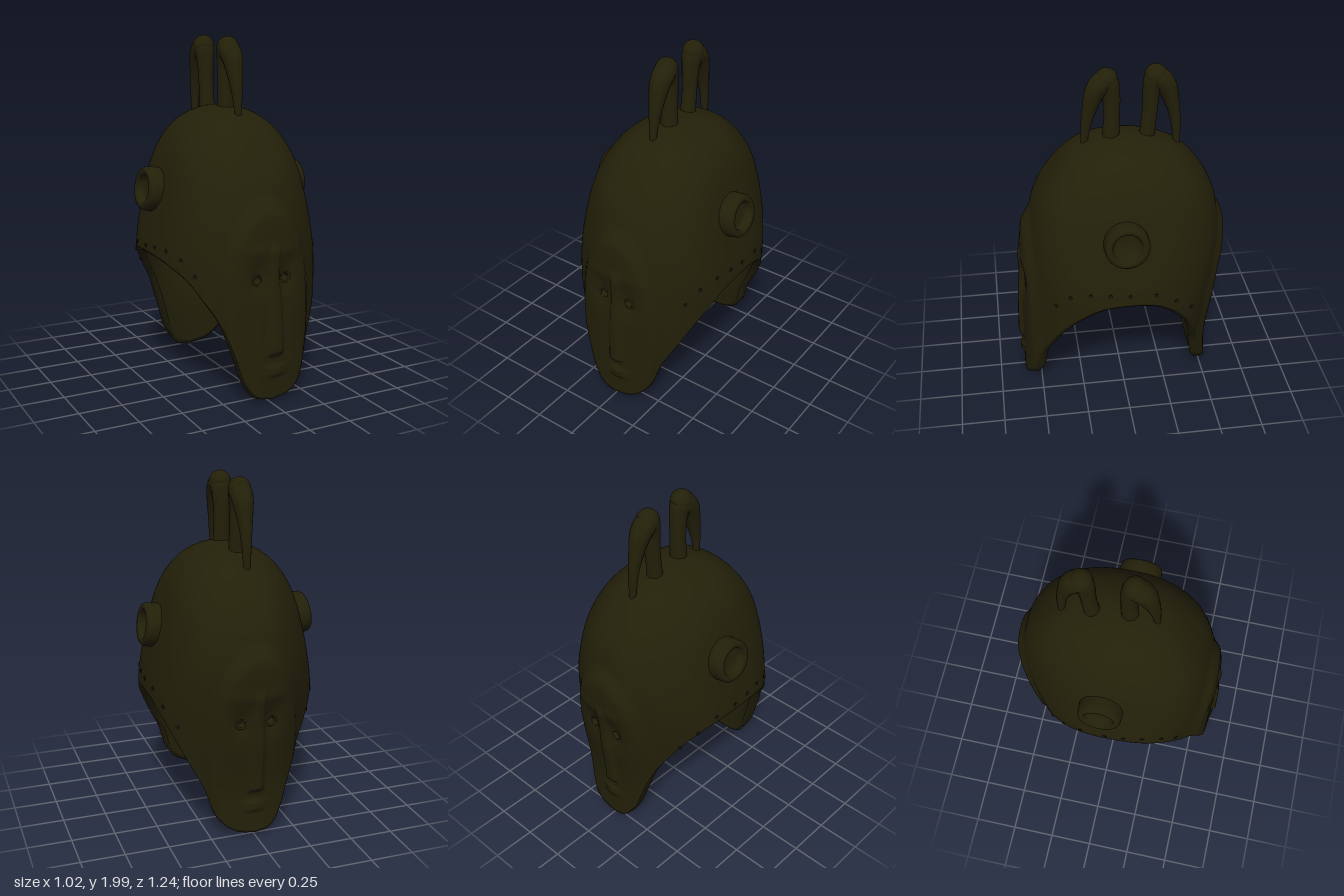
import * as THREE from 'three';

const TOP = 1.61, WALL = 0.046, COLS = 200, ROWS = 130;
const EYE = { x: 0.085, mid: 0.01, y: 0.71, rx: 0.024, ry: 0.021 };

// Smooth curve through [key, value] pairs with ascending keys
function spline(pts) {
  const slope = pts.map((p, i) => {
    const a = pts[Math.max(0, i - 1)], b = pts[Math.min(pts.length - 1, i + 1)];
    return (b[1] - a[1]) / (b[0] - a[0]);
  });
  return k => {
    let i = 0;
    while (i < pts.length - 2 && k > pts[i + 1][0]) i++;
    const [a, b] = [pts[i], pts[i + 1]], h = b[0] - a[0];
    const t = THREE.MathUtils.clamp((k - a[0]) / h, 0, 1), t2 = t * t, t3 = t2 * t;
    return a[1] * (2 * t3 - 3 * t2 + 1) + b[1] * (3 * t2 - 2 * t3) +
      h * (slope[i] * (t3 - 2 * t2 + t) + slope[i + 1] * (t3 - t2));
  };
}
// Half-width by height, keyed on the root of the depth below the crown
const heights = [1.61, 1.6, 1.55, 1.5, 1.4, 1.3, 1.2, 1.0, 0.8, 0.6, 0.3, 0];
const profile = values => {
  const f = spline(heights.map((y, i) => [Math.sqrt(TOP - y), values[i]]));
  return y => f(Math.sqrt(Math.max(0, TOP - y)));
};
const sideR = profile([0, 0.08, 0.195, 0.26, 0.335, 0.378, 0.408, 0.455, 0.49, 0.495, 0.49, 0.49]);
const frontR = profile([0, 0.1, 0.24, 0.31, 0.4, 0.465, 0.505, 0.545, 0.555, 0.56, 0.562, 0.565]);
const backR = profile([0, 0.12, 0.29, 0.37, 0.46, 0.52, 0.555, 0.58, 0.562, 0.535, 0.493, 0.505]);
// Lower edges by side: low at both faces, arched over the sides
const leftRim = spline([[0, 0.025], [0.26, 0.055], [0.46, 0.15], [0.56, 0.3], [0.68, 0.42],
  [0.85, 0.6], [0.94, 0.7], [0.98, 0.75], [1, 0.77]]);
const rightRim = spline([[0, 0.025], [0.2, 0.055], [0.34, 0.16], [0.44, 0.31], [0.57, 0.49],
  [0.71, 0.61], [0.82, 0.7], [0.94, 0.77], [1, 0.8]]);

const step = THREE.MathUtils.smoothstep;
const bump = (x, y, cx, cy, w, h) => Math.exp(-(((x - cx) / w) ** 2) - ((y - cy) / h) ** 2);

// Unit plan outline: a squared oval, flatter at the back right
function outline(a) {
  const s = Math.sin(a), c = Math.cos(a);
  const n = 2.4 - 0.8 * Math.max(0, -s) * Math.max(0, -c);
  const k = (Math.abs(s) ** n + Math.abs(c) ** n) ** (-1 / n);
  return [k * s, k * c];
}

// Carved relief of one face: raised plate, sockets, brow, nose and lips
function relief(x, y, nx) {
  const plate = 1 - step(Math.hypot(x / 0.29, (y - 0.5) / 0.66), 0.84, 1.04);
  let d = 0.034 * plate;
  for (const s of [-1, 1]) {
    d -= 0.026 * bump(x, y, EYE.mid + s * EYE.x, 0.72, 0.06, 0.09);
    d += 0.008 * bump(x, y, EYE.mid + s * 0.09, 0.87, 0.09, 0.04);
  }
  const k = THREE.MathUtils.clamp((0.92 - y) / 0.6, 0, 1), w = 0.03 + 0.024 * k;
  const across = 1 - step(Math.abs(x - nx), w * 0.45, w * 1.15);
  d += (0.012 + 0.016 * k) * across * step(y, 0.27, 0.3) * (1 - step(y, 0.84, 0.94));
  for (const [ly, lh] of [[0.207, 0.011], [0.176, 0.012]])
    d += 0.024 * bump(x, y, nx + 0.008, ly, 0.058, lh);
  return d;
}

// Point of the shell at angle a; inset > 0 gives the plain inside
function shellPoint(a, y, inset) {
  const [s, c] = outline(a), front = c >= 0;
  const x = Math.max(0, sideR(y) - inset) * s;
  let z = Math.max(0, (front ? frontR : backR)(y) - inset) * c;
  if (!inset && y < 1.25 && Math.abs(x) < 0.34)
    z += (front ? 1 : -1) * relief(x, y, front ? 0.022 : 0);
  return new THREE.Vector3(x, y, z);
}

// Pull points near an eye outline onto it; report whether a point is in the hole
function fitEye(p) {
  for (const s of [-1, 1]) {
    const cx = EYE.mid + s * EYE.x, dx = p.x - cx, dy = p.y - EYE.y;
    const e = Math.hypot(dx / EYE.rx, dy / EYE.ry);
    if (e > 0.7 && e < 1.3) {
      p.x = cx + dx / e;
      p.y = EYE.y + dy / e;
    }
    if (e < 1.3) return true;
  }
  return false;
}

function shellGeometry() {
  const pos = [], hole = [], index = [], total = 2 * ROWS + 3;
  for (let j = 0; j < total; j++) {
    const inside = j > ROWS + 1, lip = j === ROWS + 1;
    const t = lip ? 1 : (inside ? total - 1 - j : j) / ROWS;
    for (let i = 0; i < COLS; i++) {
      const u = (i / COLS) * Math.PI * 2, a = u - 0.25 * Math.sin(2 * u);
      const s = outline(a)[0], side = (1 + s) / 2;
      // Ease between the two edge heights where the sides meet at the chin
      const mix = step(side, 0.4, 0.6), x = Math.abs(s);
      const low = leftRim(x) * mix + rightRim(x) * (1 - mix);
      const y = TOP - (TOP - low) * t ** 1.3;
      const p = shellPoint(a, y, inside ? WALL : lip ? WALL / 2 : 0);
      if (inside) p.y -= 0.05 * (1 - t);
      if (lip) p.y -= 0.02;
      hole.push(fitEye(p));
      pos.push(p.x, p.y, p.z);
    }
  }
  for (let j = 0; j < total - 1; j++) for (let i = 0; i < COLS; i++) {
    const n = (i + 1) % COLS;
    const a = j * COLS + i, b = j * COLS + n, c = a + COLS, d = b + COLS;
    for (const tri of [[a, c, b], [b, c, d]])
      if (!tri.every(v => hole[v])) index.push(...tri);
  }
  const g = new THREE.BufferGeometry();
  g.setAttribute('position', new THREE.Float32BufferAttribute(pos, 3));
  g.setIndex(index);
  g.computeVertexNormals();
  return g;
}

// Round horn swept along [z, y, radius] stations
function hornGeometry(stations, x) {
  const n = 48, m = 20;
  const path = new THREE.CatmullRomCurve3(stations.map(([z, y]) => new THREE.Vector3(x, y, z)));
  const g = new THREE.TubeGeometry(path, n, 1, m, false);
  const radius = spline(stations.map((s, i) => [i / (stations.length - 1), s[2]]));
  const p = g.attributes.position, v = new THREE.Vector3();
  for (let i = 0; i <= n; i++) {
    const c = path.getPointAt(i / n), r = radius(path.getUtoTmapping(i / n));
    for (let j = 0; j <= m; j++) {
      const k = i * (m + 1) + j;
      v.fromBufferAttribute(p, k).sub(c).multiplyScalar(r).add(c);
      p.setXYZ(k, v.x, v.y, v.z);
    }
  }
  g.computeVertexNormals();
  return g;
}

export function createModel() {
  const model = new THREE.Group();
  const wood = new THREE.MeshStandardMaterial({ color: 0x232009, side: THREE.DoubleSide });
  wood.name = 'dark wood';
  const pitDark = new THREE.MeshStandardMaterial({ color: 0x171508 });
  pitDark.name = 'pit dark';
  const add = (name, geometry, material = wood) => {
    const mesh = new THREE.Mesh(geometry, material);
    mesh.name = name;
    model.add(mesh);
    return mesh;
  };

  add('twoFacedHelmet', shellGeometry());

  // Hooked crest horns, one bending forward and one back, with rounded heads
  const horns = [
    ['frontHorn', 0.003, [[0.045, 1.56, 0.05], [0.038, 1.72, 0.046], [0.042, 1.85, 0.051],
      [0.066, 1.925, 0.062], [0.118, 1.885, 0.06], [0.162, 1.76, 0.041], [0.184, 1.65, 0.027], [0.194, 1.55, 0.018]]],
    ['backHorn', -0.014, [[-0.16, 1.56, 0.045], [-0.176, 1.72, 0.043], [-0.185, 1.85, 0.05],
      [-0.208, 1.925, 0.062], [-0.258, 1.885, 0.06], [-0.303, 1.76, 0.04], [-0.324, 1.65, 0.028], [-0.333, 1.5, 0.018]]],
  ];
  for (const [name, x, stations] of horns) {
    add(name, hornGeometry(stations, x));
    const head = add(name + 'Head', new THREE.SphereGeometry(0.063, 24, 16));
    head.position.set(x, 1.936, stations[3][0]);
  }

  // Eye openings: short walls through the shell and raised lids
  for (const face of [1, -1]) for (const s of [1, -1]) {
    const x = EYE.mid + s * EYE.x;
    const wall = add('eyeWall', new THREE.CylinderGeometry(1, 1, 0.06, 20, 1, true).rotateX(Math.PI / 2));
    wall.scale.set(EYE.rx, EYE.ry, 1);
    wall.position.set(x, EYE.y, face * (face > 0 ? 0.533 : 0.526));
    const lid = add('eyelid', new THREE.TorusGeometry(0.032, 0.007, 8, 24));
    lid.scale.y = 0.85;
    lid.position.set(x, EYE.y, face * (face > 0 ? 0.563 : 0.555));
  }

  // Cupped ear discs, leaning with the wall
  const ear = [[0.001, 0.025], [0.06, 0.028], [0.077, 0.04], [0.083, 0.068], [0.092, 0.078],
    [0.112, 0.076], [0.123, 0.062], [0.126, 0.03], [0.126, -0.05]].map(p => new THREE.Vector2(...p));
  for (const s of [1, -1]) {
    const mesh = add(s > 0 ? 'leftEar' : 'rightEar', new THREE.LatheGeometry(ear, 40));
    mesh.position.set(s * 0.417, 1.145, s > 0 ? 0.015 : -0.03);
    mesh.rotation.z = -s * (Math.PI / 2 - 0.14);
  }

  // Lacing pits along the arched edges
  for (const s of [1, -1]) for (const [z, y] of [[0.41, 0.73], [0.33, 0.81], [0.22, 0.84],
    [0.11, 0.84], [0, 0.83], [-0.15, 0.82], [-0.27, 0.75], [-0.37, 0.66]]) {
    const rx = sideR(y), rz = (z < 0 ? backR : frontR)(y), c = z / rz;
    const across = (1 - Math.abs(c) ** 2.4) ** (1 / 2.4);
    const normal = new THREE.Vector3(s * across ** 1.4 / rx, 0, Math.sign(c) * Math.abs(c) ** 1.4 / rz);
    const pit = add('lacingPit', new THREE.CylinderGeometry(0.012, 0.012, 0.008, 14), pitDark);
    pit.position.copy(shellPoint(Math.atan2(s * across, c), y, 0));
    pit.quaternion.setFromUnitVectors(new THREE.Vector3(0, 1, 0), normal.normalize());
  }
  return model;
}
